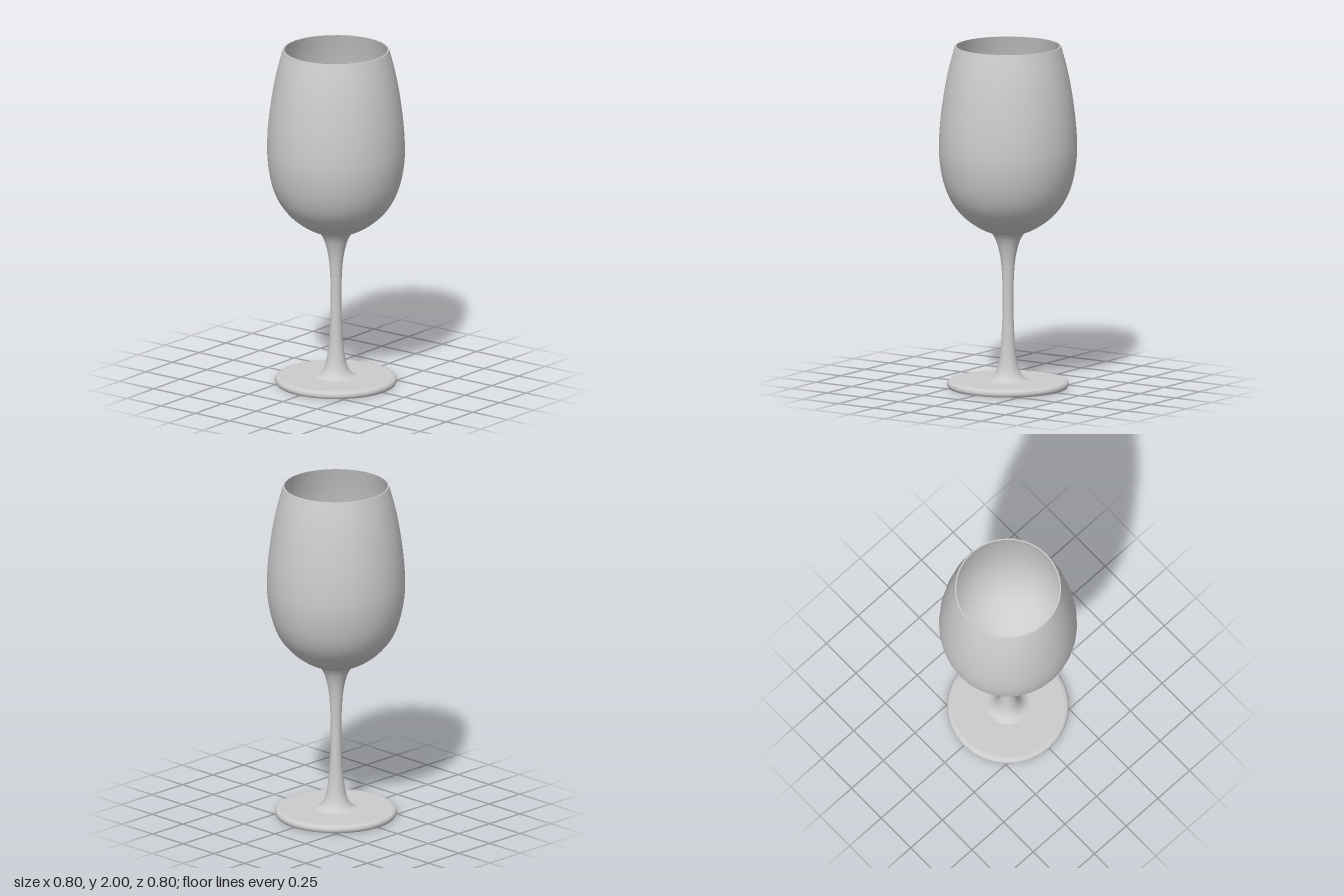
import * as THREE from 'three';

const SEGMENTS = 32;

// Smooth profile through a few [radius, height] points
function curve(points, divisions) {
  return new THREE.SplineCurve(points.map(([r, y]) => new THREE.Vector2(r, y))).getPoints(divisions);
}

const line = (points) => points.map(([r, y]) => new THREE.Vector2(r, y));

export function createModel() {
  const model = new THREE.Group();
  model.name = 'wineGlass';
  const glass = new THREE.MeshStandardMaterial({ color: 0xcccccc });
  glass.name = 'pale grey';

  // Each surface is its own lathe, so the edges between them stay sharp
  function turned(name, profile, parent) {
    const mesh = new THREE.Mesh(new THREE.LatheGeometry(profile, SEGMENTS), glass);
    mesh.name = name;
    parent.add(mesh);
  }
  function part(name) {
    const group = new THREE.Group();
    group.name = name;
    model.add(group);
    return group;
  }

  // Foot: flat disc with a rounded edge
  const foot = part('foot');
  turned('footUnderside', line([[0, 0], [0.345, 0]]), foot);
  turned('footEdge', curve([[0.345, 0], [0.352, 0.012], [0.351, 0.026], [0.343, 0.037], [0.325, 0.042]], 10), foot);
  turned('footTop', line([[0.325, 0.042], [0, 0.042]]), foot);

  // Stem: slim waist flaring at both ends
  turned('stem', curve([
    [0.122, 0.042], [0.09, 0.06], [0.063, 0.11], [0.046, 0.2], [0.036, 0.32], [0.031, 0.48],
    [0.033, 0.62], [0.04, 0.73], [0.054, 0.81], [0.074, 0.87], [0.097, 0.906],
  ], 30), model);

  // Bowl: tulip-shaped outer and inner walls joined by a thin rim
  const bowl = part('bowl');
  const outer = [
    [0, 0.892], [0.095, 0.905], [0.18, 0.944], [0.26, 1.005], [0.325, 1.085], [0.368, 1.185],
    [0.392, 1.3], [0.399, 1.41], [0.392, 1.55], [0.372, 1.71], [0.344, 1.86], [0.307, 2],
  ];
  const inner = [
    [0, 0.902], [0.093, 0.915], [0.175, 0.953], [0.253, 1.013], [0.317, 1.09], [0.36, 1.188],
    [0.384, 1.3], [0.391, 1.41], [0.384, 1.55], [0.364, 1.71], [0.336, 1.86], [0.299, 2],
  ];
  turned('bowlOutside', curve(outer, 36), bowl);
  turned('rim', line([[0.307, 2], [0.299, 2]]), bowl);
  turned('bowlInside', curve(inner, 36).reverse(), bowl);

  return model;
}
